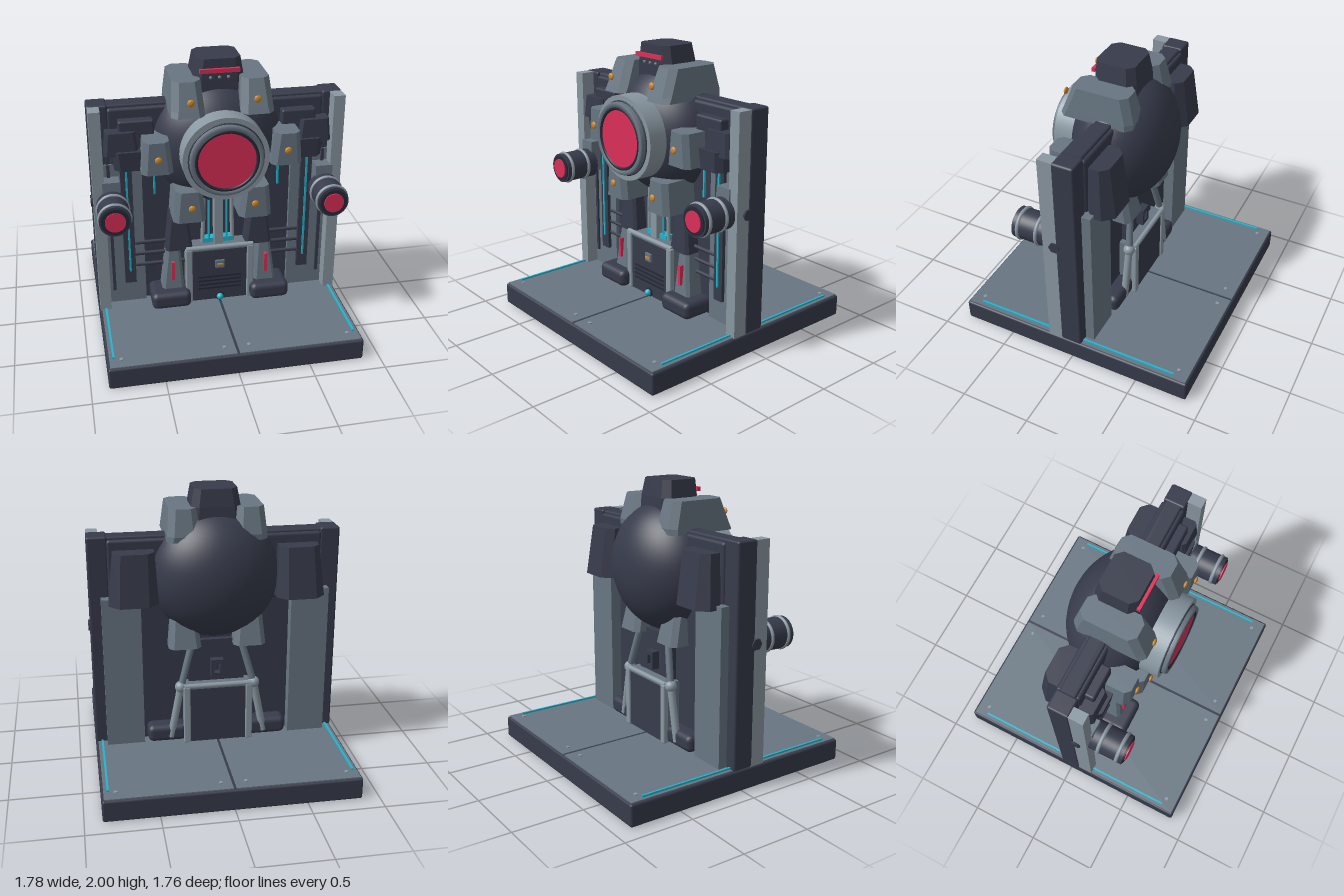
import * as THREE from 'three';
import { RoundedBoxGeometry } from 'three/addons/geometries/RoundedBoxGeometry.js';

const mat = (name, color) => Object.assign(new THREE.MeshStandardMaterial({ color }), { name });

export function createModel() {
  const dark = mat('dark navy', 0x373b4b);
  const black = mat('deep navy', 0x262a37);
  const slate = mat('slate', 0x687682);
  const steel = mat('light steel', 0x8a98a2);
  const cyan = mat('cyan', 0x22b4cc);
  const red = mat('red', 0xdc2f58);
  const orange = mat('orange', 0xd08a2c);

  const root = new THREE.Group();
  const add = (name, geo, m, x = 0, y = 0, z = 0) => {
    const mesh = new THREE.Mesh(geo, m);
    mesh.name = name;
    mesh.position.set(x, y, z);
    root.add(mesh);
    return mesh;
  };
  // Box given by its extents, with an optional rounded edge
  const box = (name, m, x0, x1, y0, y1, z0, z1, r = 0) => {
    const s = [x1 - x0, y1 - y0, z1 - z0];
    const geo = r ? new RoundedBoxGeometry(...s, 2, r) : new THREE.BoxGeometry(...s);
    return add(name, geo, m, (x0 + x1) / 2, (y0 + y1) / 2, (z0 + z1) / 2);
  };
  // Same box on both sides
  const pair = (name, m, x0, x1, ...rest) => {
    box(name + 'Left', m, x0, x1, ...rest);
    box(name + 'Right', m, -x1, -x0, ...rest);
  };
  // Tapered block from chamfered rectangles [y, x0, x1, z0, z1, chamfer]
  const loft = (name, m, levels) => {
    const rings = levels.map(([y, a, b, c, d, k]) => [
      [b - k, y, c], [b, y, c + k], [b, y, d - k], [b - k, y, d],
      [a + k, y, d], [a, y, d - k], [a, y, c + k], [a + k, y, c]]);
    const pos = [];
    const tri = (...p) => p.forEach(v => pos.push(...v));
    for (let l = 0; l + 1 < rings.length; l++) {
      for (let i = 0; i < 8; i++) {
        const j = (i + 1) % 8, lo = rings[l], hi = rings[l + 1];
        tri(lo[i], hi[i], hi[j]);
        tri(lo[i], hi[j], lo[j]);
      }
    }
    const bottom = rings[0], top = rings[rings.length - 1];
    for (let i = 1; i < 7; i++) {
      tri(bottom[0], bottom[i], bottom[i + 1]);
      tri(top[0], top[i + 1], top[i]);
    }
    const geo = new THREE.BufferGeometry();
    geo.setAttribute('position', new THREE.Float32BufferAttribute(pos, 3));
    geo.computeVertexNormals();
    return add(name, geo, m);
  };
  const loftPair = (name, m, levels) => {
    loft(name + 'Left', m, levels);
    loft(name + 'Right', m, levels.map(([y, a, b, ...r]) => [y, -b, -a, ...r]));
  };
  // Cylinder along z
  const drum = (name, m, x, y, z0, z1, r, seg = 40) =>
    add(name, new THREE.CylinderGeometry(r, r, z1 - z0, seg).rotateX(Math.PI / 2), m, x, y, (z0 + z1) / 2);
  const ring = (name, m, x, y, z, r, t) =>
    add(name, new THREE.TorusGeometry(r, t, 10, 40), m, x, y, z);
  const rod = (name, m, a, b, r) => {
    const curve = new THREE.LineCurve3(new THREE.Vector3(...a), new THREE.Vector3(...b));
    return add(name, new THREE.TubeGeometry(curve, 1, r, 12), m);
  };
  const ball = (name, m, x, y, z, r, flat = 1) =>
    add(name, new THREE.SphereGeometry(r, 16, 12).scale(1, 1, flat), m, x, y, z);

  // Base with two deck plates, light strips and rivets
  box('base', dark, -0.88, 0.88, 0, 0.155, -0.88, 0.88, 0.015);
  pair('deckPlate', slate, 0.01, 0.865, 0.15, 0.163, -0.865, 0.865);
  pair('deckLight', cyan, 0.828, 0.842, 0.16, 0.175, -0.77, 0.77);
  for (const x of [-0.785, -0.085, 0.085, 0.785])
    for (const z of [-0.785, 0.785])
      add('deckRivet', new THREE.CylinderGeometry(0.013, 0.013, 0.01, 12), steel, x, 0.165, z);

  // Bay wall, edge pillars and service columns
  box('wall', dark, -0.8, 0.8, 0.155, 1.69, -0.06, 0.06, 0.015);
  pair('sidePillar', dark, 0.74, 0.88, 0.155, 1.695, -0.075, 0.08, 0.015);
  pair('pillarFace', steel, 0.795, 0.875, 0.155, 1.69, 0.07, 0.18);
  pair('wallPanel', dark, 0.3, 0.745, 1.2, 1.67, -0.085, 0.085, 0.02);
  pair('column', slate, 0.53, 0.8, 0.155, 1.27, -0.14, 0.09);
  pair('columnInlay', dark, 0.6, 0.68, 0.33, 1.27, 0.08, 0.115);
  pair('columnGroove', dark, 0.748, 0.77, 0.27, 1.27, 0.08, 0.105);
  pair('columnLight', cyan, 0.633, 0.647, 0.43, 1.27, 0.11, 0.125);
  pair('innerLight', cyan, 0.436, 0.45, 1.01, 1.28, 0.06, 0.075);
  for (const y of [0.46, 0.55, 0.64])
    for (const s of [-1, 1])
      rod('wallPipe', dark, [s * 0.2, y, 0.085], [s * 0.6, y, 0.085], 0.014);

  // Cannons held on the pillars
  for (const s of [-1, 1]) {
    const x = s * 0.75;
    box('cannonBracket', slate, x - 0.06, x + 0.06, 0.95, 1.18, 0.08, 0.19);
    drum('cannonBody', dark, x, 1.01, 0.17, 0.43, 0.108);
    for (const z of [0.25, 0.39]) ring('cannonRing', steel, x, 1.01, z, 0.104, 0.014);
    drum('cannonRim', black, x, 1.01, 0.42, 0.437, 0.095);
    drum('cannonLens', red, x, 1.01, 0.43, 0.446, 0.07);
    add('pillarBolt', new THREE.CylinderGeometry(0.04, 0.04, 0.02, 6).rotateZ(Math.PI / 2), dark, s * 0.88, 1.01, 0.09);
  }

  // Body and eye
  add('body', new THREE.SphereGeometry(0.46, 48, 32).scale(1, 1, 0.77), dark, 0, 1.39, 0);
  drum('eyeHousing', steel, 0, 1.39, 0.2, 0.41, 0.293, 56);
  const bezel = [[0.19, 0.40], [0.247, 0.40], [0.25, 0.41], [0.25, 0.44], [0.243, 0.45], [0.22, 0.45], [0.205, 0.43], [0.19, 0.43]];
  add('eyeBezel', new THREE.LatheGeometry(bezel.map(p => new THREE.Vector2(...p)), 56).rotateX(Math.PI / 2), slate);
  root.children[root.children.length - 1].position.y = 1.39;
  ring('eyeOuterGroove', dark, 0, 1.39, 0.41, 0.252, 0.007);
  ring('eyeInnerRing', black, 0, 1.39, 0.437, 0.208, 0.013);
  drum('eyeLens', red, 0, 1.39, 0.4, 0.44, 0.198, 56);

  // Head with visor
  loft('head', dark, [
    [1.7, -0.175, 0.175, -0.14, 0.17, 0.05],
    [1.88, -0.17, 0.17, -0.13, 0.17, 0.05],
    [2.0, -0.148, 0.148, -0.11, 0.165, 0.045]]);
  box('visor', red, -0.135, 0.135, 1.91, 1.938, 0.165, 0.188);
  for (const x of [-0.06, 0, 0.06]) ball('headDot', slate, x, 1.875, 0.17, 0.012);

  // Clamps gripping the body
  loftPair('upperClamp', slate, [
    [1.66, 0.12, 0.345, -0.19, 0.33, 0.04],
    [1.7, 0.12, 0.342, -0.195, 0.315, 0.045],
    [1.88, 0.135, 0.325, -0.15, 0.245, 0.045]]);
  loftPair('sideClamp', slate, [
    [1.27, 0.335, 0.55, 0.07, 0.32, 0.035],
    [1.5, 0.36, 0.53, 0.07, 0.32, 0.035]]);
  loftPair('lowerClamp', slate, [
    [0.89, 0.115, 0.345, -0.19, 0.32, 0.035],
    [1.12, 0.14, 0.325, -0.14, 0.32, 0.035]]);
  for (const s of [-1, 1])
    for (const [x, y] of [[0.22, 1.77], [0.44, 1.385], [0.22, 1.005]])
      ball('clampRivet', orange, s * x, y, 0.338, 0.025, 0.45);

  // Shoulder blocks in front of and behind the wall
  loftPair('shoulderFront', dark, [
    [1.26, 0.4, 0.72, 0.05, 0.2, 0.04],
    [1.4, 0.4, 0.73, 0.05, 0.21, 0.04]]);
  box('shoulderPlateLeft', dark, 0.44, 0.68, 1.3, 1.6, 0.07, 0.15, 0.015);
  box('shoulderPlateRight', dark, -0.68, -0.44, 1.3, 1.6, 0.07, 0.15, 0.015);
  loftPair('shoulderOuter', dark, [
    [1.37, 0.55, 0.785, 0.05, 0.19, 0.02],
    [1.53, 0.57, 0.77, 0.05, 0.18, 0.02]]);
  loftPair('shoulderBack', dark, [
    [1.24, 0.41, 0.75, -0.26, -0.04, 0.07],
    [1.6, 0.43, 0.71, -0.21, -0.04, 0.05]]);

  // Central support between body and pedestal
  box('supportColumn', steel, -0.032, 0.032, 0.58, 0.99, 0.09, 0.15);
  box('supportPad', cyan, -0.11, 0.11, 0.6, 0.64, 0.06, 0.12);
  for (const s of [-1, 1]) {
    rod('energyRod', cyan, [s * 0.065, 0.6, 0.11], [s * 0.065, 0.95, 0.11], 0.008);
    rod('frontStrut', steel, [s * 0.11, 0.6, 0.1], [s * 0.1, 0.97, 0.1], 0.015);
    rod('backStrutUpper', slate, [s * 0.17, 0.93, -0.11], [s * 0.26, 0.6, -0.15], 0.025);
    ball('backStrutJoint', steel, s * 0.265, 0.59, -0.15, 0.042);
    rod('backStrutLower', steel, [s * 0.265, 0.59, -0.15], [s * 0.34, 0.2, -0.15], 0.027);
  }
  box('backPanel', dark, -0.2, 0.2, 0.2, 0.92, -0.1, -0.04);
  const link = new THREE.Shape([[-0.045, 0.65], [0.045, 0.65], [0.045, 0.78], [-0.045, 0.78]].map(p => new THREE.Vector2(...p)));
  link.holes.push(new THREE.Path([[-0.02, 0.68], [-0.02, 0.75], [0.02, 0.75], [0.02, 0.68]].map(p => new THREE.Vector2(...p))));
  add('backLink', new THREE.ExtrudeGeometry(link, { depth: 0.06, bevelEnabled: false }), dark, 0, 0, -0.155);

  // Legs with red markers and feet
  loftPair('thigh', dark, [
    [0.59, 0.19, 0.385, 0.03, 0.17, 0.02],
    [0.9, 0.23, 0.35, 0.03, 0.15, 0.02]]);
  loftPair('shin', slate, [
    [0.165, 0.25, 0.435, 0.03, 0.2, 0.02],
    [0.6, 0.28, 0.38, 0.03, 0.16, 0.02]]);
  pair('legMarker', red, 0.33, 0.352, 0.365, 0.51, 0.17, 0.2);
  pair('foot', dark, 0.22, 0.505, 0.165, 0.29, -0.17, 0.275, 0.04);

  // Pedestal with corner posts, vents and button
  box('pedestal', dark, -0.225, 0.225, 0.16, 0.59, -0.185, 0.19);
  box('pedestalTop', slate, -0.235, 0.235, 0.58, 0.605, -0.19, 0.195);
  for (const z of [-0.18, 0.185]) {
    pair('pedestalPost', steel, 0.2, 0.25, 0.16, 0.6, z - 0.02, z + 0.02, 0.01);
    rod('pedestalRail', steel, [-0.245, 0.6, z], [0.245, 0.6, z], 0.018);
  }
  pair('pedestalSide', slate, 0.2, 0.24, 0.16, 0.6, -0.18, 0.185);
  for (let i = 0; i < 4; i++) {
    const y = 0.265 + i * 0.032;
    box('vent', black, -0.16, 0.16, y - 0.007, y + 0.007, 0.185, 0.198);
  }
  box('buttonPlate', slate, -0.033, 0.033, 0.435, 0.495, 0.185, 0.205);
  box('button', orange, -0.022, 0.022, 0.458, 0.472, 0.2, 0.212);
  drum('lampSocket', black, 0, 0.19, 0.18, 0.2, 0.034, 20);
  ball('lamp', cyan, 0, 0.19, 0.205, 0.025);

  return root;
}
